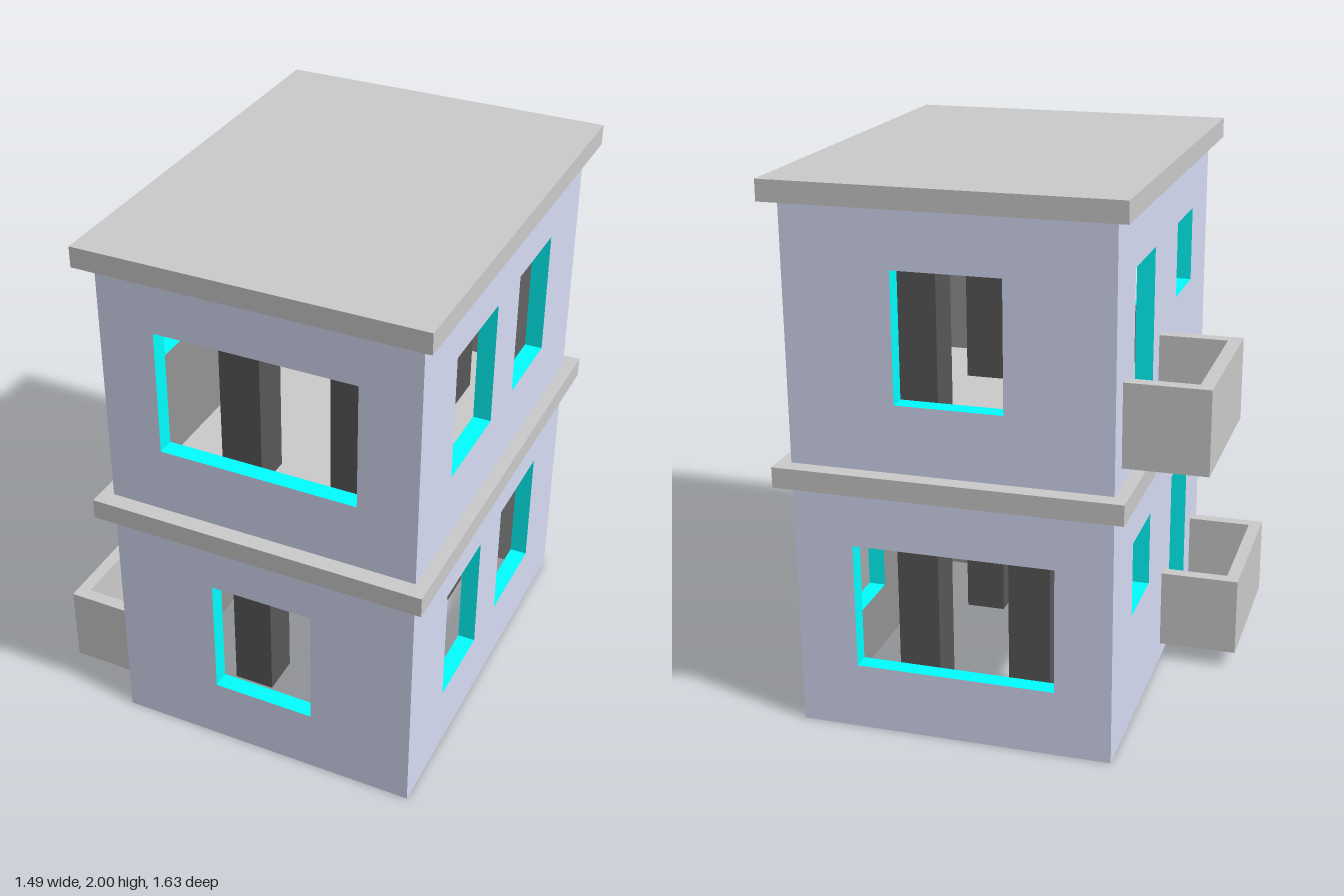
import * as THREE from 'three';

const mat = (color) => new THREE.MeshStandardMaterial({ color });
const grey = mat(0xcccccc), paint = mat(0xd6dcf5), trim = mat(0x00ffff);
const plaster = mat(0x949494), dark = mat(0x585858);

const T = 0.065, H = 0.925;                 // wall thickness, storey height
const X0 = -0.45, X1 = 0.70, Z = 0.755;     // outer wall faces
const CX = (X0 + X1) / 2;

// Box given by its minimum and maximum corners
function box(name, material, [x0, y0, z0], [x1, y1, z1]) {
  const mesh = new THREE.Mesh(new THREE.BoxGeometry(x1 - x0, y1 - y0, z1 - z0), material);
  mesh.position.set((x0 + x1) / 2, (y0 + y1) / 2, (z0 + z1) / 2);
  mesh.name = name;
  return mesh;
}

// Wall facing local +z with rectangular openings [u0, u1, y0, y1];
// inner face, outer face, rim and opening reveals become separate meshes
function wall(name, u0, u1, openings, rimMaterial = paint) {
  const rect = (Type, a, b, c, d) => new Type([
    new THREE.Vector2(a, c), new THREE.Vector2(b, c), new THREE.Vector2(b, d), new THREE.Vector2(a, d),
  ]);
  const shape = rect(THREE.Shape, u0, u1, 0, H);
  for (const o of openings) {
    shape.holes.push(rect(THREE.Path, Math.min(o[0], o[1]), Math.max(o[0], o[1]), o[2], o[3]));
  }
  const geo = new THREE.ExtrudeGeometry(shape, { depth: T, bevelEnabled: false });
  const caps = geo.groups[0].count, total = geo.attributes.position.count;
  const group = new THREE.Group();
  group.name = name;
  const slice = (part, start, end, material) => {
    const g = new THREE.BufferGeometry();
    for (const key of ['position', 'normal', 'uv']) {
      const a = geo.attributes[key];
      g.setAttribute(key, new THREE.BufferAttribute(
        a.array.slice(start * a.itemSize, end * a.itemSize), a.itemSize));
    }
    const mesh = new THREE.Mesh(g, material);
    mesh.name = part;
    group.add(mesh);
  };
  slice('innerFace', 0, caps / 2, plaster);
  slice('outerFace', caps / 2, caps, paint);
  slice('wallRim', caps, caps + 24, rimMaterial);
  slice('openingReveals', caps + 24, total, trim);
  return group;
}

// Three parapets around a floor plate
function balcony(s) {
  const group = new THREE.Group();
  group.name = 'balcony';
  const a = -0.305, b = 0.305, w = 0.048, y0 = 0.065, y1 = 0.365, x0 = -0.745;
  group.add(
    box('balconyFloor', grey, [x0 + w, y0, a + w], [X0, y0 + 0.05, b - w]),
    box('frontParapet', grey, [x0, y0, a], [x0 + w, y1, b]),
    box('sideParapet', grey, [x0 + w, y0, a], [X0, y1, a + w]),
    box('sideParapet', grey, [x0 + w, y0, b - w], [X0, y1, b]),
  );
  group.position.z = s * 0.355;
  return group;
}

// One storey; s = -1 swaps front and back
function storey(name, s) {
  const group = new THREE.Group();
  group.name = name;
  const lo = 0.245, hi = 0.71;
  const narrow = [[-0.07, 0.315, lo, hi]], wide = [[-0.245, 0.485, lo, hi]];
  const place = (w, x, z, ry) => {
    w.position.set(x, 0, z);
    w.rotation.y = ry;
    group.add(w);
  };
  const flip = (list) => list.map(([a, b, c, d]) => [-a, -b, c, d]);
  place(wall('frontWall', X0, X1, s > 0 ? narrow : wide), 0, Z - T, 0);
  place(wall('backWall', -X1, -X0, flip(s > 0 ? wide : narrow)), 0, -Z + T, Math.PI);

  // Side walls fit between the front and back walls
  const L = Z - T;
  const windows = [[0.115 * s, 0.44 * s, lo, hi], [-0.10 * s, -0.47 * s, lo, hi]];
  place(wall('leftWall', -L, L, flip(windows), s > 0 ? trim : paint), X1 - T, 0, Math.PI / 2);
  const doorAndWindow = [[0.195 * s, 0.50 * s, 0.07, hi], [-0.185 * s, -0.465 * s, 0.43, hi]];
  place(wall('rightWall', -L, L, doorAndWindow), X0 + T, 0, -Math.PI / 2);

  // Square columns
  for (const x of [-0.078, 0.345]) {
    for (const z of [0.373 * s, -0.413 * s]) {
      const r = 0.078;
      group.add(box('column', dark, [x - r, 0, z - r], [x + r, H, z + r]));
    }
  }

  // Overhanging slab above
  const w = 0.6225;
  group.add(box('slab', grey, [CX - w, H, -0.817], [CX + w, 1, 0.817]));
  group.add(balcony(s));
  return group;
}

export function createModel() {
  const model = new THREE.Group();
  model.name = 'house';
  const upper = storey('upperStorey', -1);
  upper.position.y = 1;
  model.add(storey('groundStorey', 1), upper);
  return model;
}
